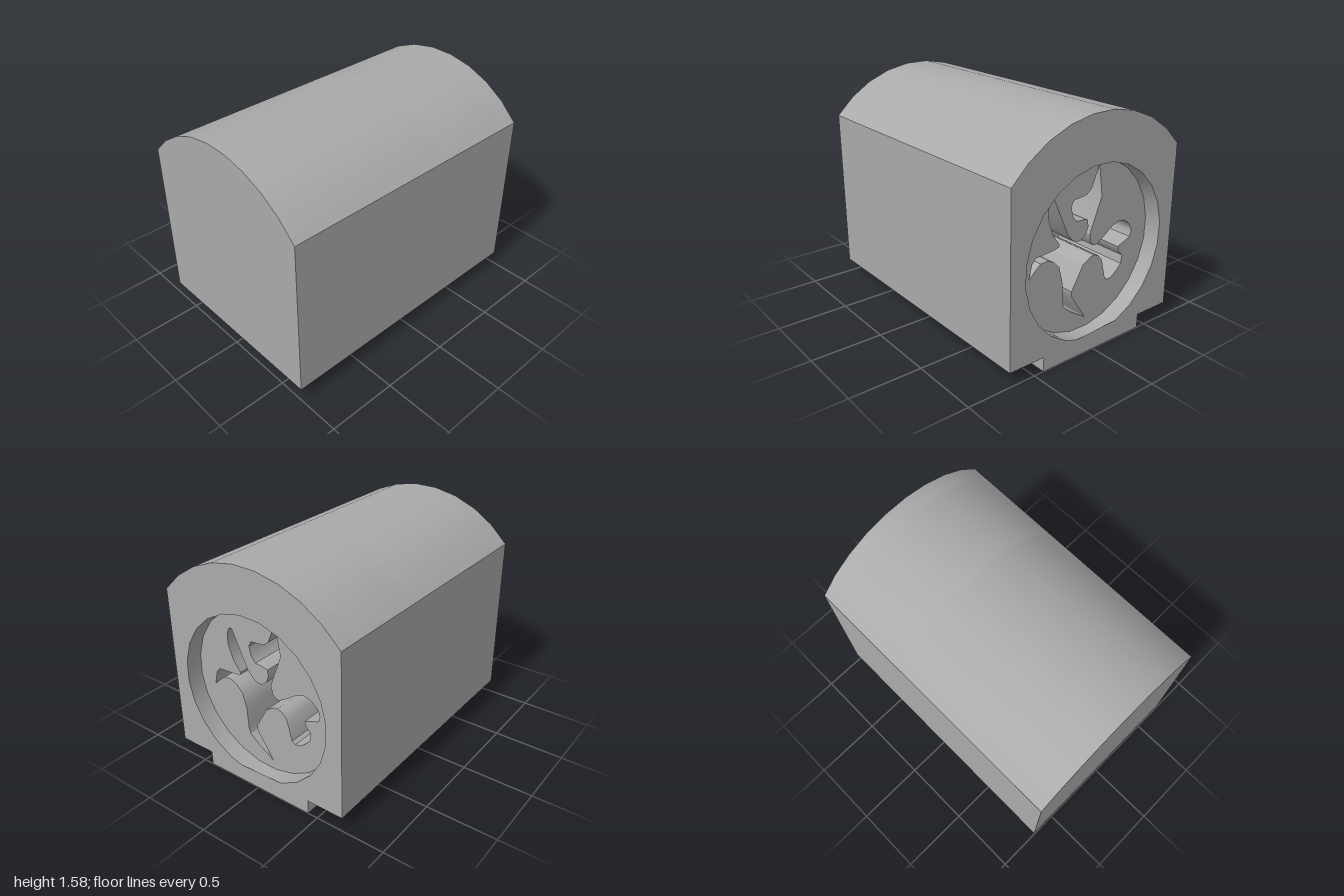
import * as THREE from 'three';
import { toCreasedNormals } from 'three/addons/utils/BufferGeometryUtils.js';

const steel = new THREE.MeshStandardMaterial({ color: 0xaaaaaa });
steel.name = 'steel grey';

// End-face coordinates: horizontal = -z, vertical = y
const CENTRE_Y = 0.68, HOLE_R = 0.583;
const HALF = 0.695, BOTTOM = 0.1, EAVES = 1.265;
const ROOF_R = 0.915, ROOF_Y = 0.67;

// Keyway outline, clockwise from the top tip
const KEYWAY = [
  [0.11, 1.21], [0.143, 0.99], [0.05, 0.753], [0.063, 0.694], [0.084, 0.669], [0.113, 0.665],
  [0.172, 0.698], [0.256, 0.757], [0.319, 0.778], [0.366, 0.769], [0.412, 0.736], [0.437, 0.698],
  [0.441, 0.673], [0.429, 0.635], [0.319, 0.593], [0.328, 0.56], [0.366, 0.518], [0.357, 0.459],
  [0.311, 0.413], [0.269, 0.384], [0.235, 0.379], [0.21, 0.396], [0.172, 0.543], [0.139, 0.581],
  [0.097, 0.597], [0.063, 0.589], [0.004, 0.556], [-0.092, 0.392], [-0.088, 0.354],
  [0.038, 0.166], [-0.088, 0.245], [-0.155, 0.3], [-0.168, 0.342], [-0.176, 0.493],
  [-0.206, 0.602], [-0.252, 0.648], [-0.303, 0.673], [-0.361, 0.669], [-0.412, 0.627],
  [-0.454, 0.585], [-0.429, 0.686], [-0.399, 0.719], [-0.252, 0.728], [-0.21, 0.74], [-0.21, 0.757],
  [-0.265, 0.832], [-0.303, 0.937], [-0.303, 1.013], [-0.282, 1.059], [-0.261, 1.059],
  [-0.143, 0.803], [-0.101, 0.753], [-0.059, 0.732], [-0.025, 0.732], [0.013, 0.761],
  [0.034, 0.811], [0.029, 0.858], [0.008, 0.866], [-0.071, 0.874], [-0.105, 0.916],
  [-0.118, 0.979], [-0.101, 1.017], [0.008, 1.029], [0.05, 1.063],
];

// Rounded-top housing section, with an optional hole
function housingShape(hole) {
  const pts = [new THREE.Vector2(-HALF, BOTTOM), new THREE.Vector2(HALF, BOTTOM)];
  const a = Math.atan2(EAVES - ROOF_Y, HALF), n = 9;
  for (let i = 0; i <= n; i++) {
    const t = a + (Math.PI - 2 * a) * i / n;
    pts.push(new THREE.Vector2(Math.cos(t) * ROOF_R, ROOF_Y + Math.sin(t) * ROOF_R));
  }
  const shape = new THREE.Shape(pts);
  if (hole) shape.holes.push(new THREE.Path(hole));
  return shape;
}

// Extrude a section along x between two positions
function slice(name, shape, x0, x1) {
  let geo = new THREE.ExtrudeGeometry(shape, { depth: x1 - x0, bevelEnabled: false });
  geo.rotateY(Math.PI / 2);
  geo.translate(x0, 0, 0);
  geo = toCreasedNormals(geo, Math.PI / 6);
  geo.clearGroups();
  const mesh = new THREE.Mesh(geo, steel);
  mesh.name = name;
  return mesh;
}

export function createModel() {
  const group = new THREE.Group();
  group.name = 'lockHousing';

  const circle = [];
  for (let i = 0; i < 24; i++) {
    const t = i / 24 * Math.PI * 2 + 0.1;
    circle.push(new THREE.Vector2(Math.cos(t) * HOLE_R, CENTRE_Y + Math.sin(t) * HOLE_R));
  }
  const keyway = KEYWAY.map(([x, y]) => new THREE.Vector2(x, y));

  // Solid back, keyed middle and round recess at the open end
  group.add(slice('solidBody', housingShape(), -1, 0.28));
  group.add(slice('keywayBody', housingShape(keyway), 0.28, 0.88));
  group.add(slice('recessRim', housingShape(circle), 0.88, 1));

  // Raised foot under the housing
  const foot = new THREE.Mesh(new THREE.BoxGeometry(1.56, BOTTOM, 0.852), steel);
  foot.name = 'foot';
  foot.position.set(0.22, BOTTOM / 2, 0);
  group.add(foot);

  return group;
}
